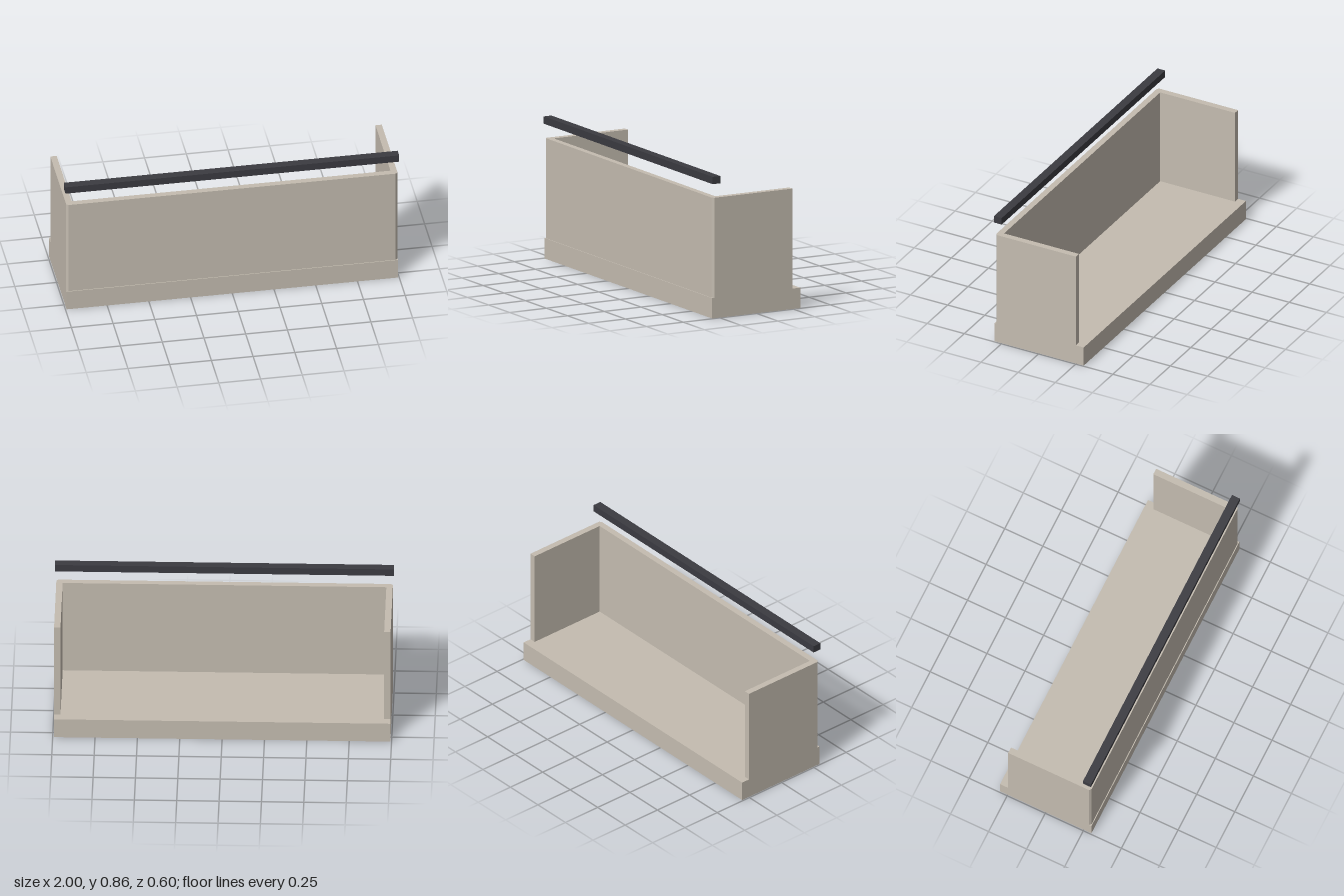
import * as THREE from 'three';

export function createModel() {
  const group = new THREE.Group();
  const stone = new THREE.MeshStandardMaterial({ color: 0xc4bcb0 });
  stone.name = 'warm grey concrete';
  const metal = new THREE.MeshStandardMaterial({ color: 0x3b3b41 });
  metal.name = 'dark metal';

  const add = (name, geometry, material, y, z = 0) => {
    const mesh = new THREE.Mesh(geometry, material);
    mesh.name = name;
    mesh.position.set(0, y, z);
    group.add(mesh);
  };

  const halfWidth = 0.993, slabTop = 0.123, wallTop = 0.726;

  // Floor slab
  add('floorSlab', new THREE.BoxGeometry(halfWidth * 2, slabTop, 0.6), stone, slabTop / 2);

  // U-shaped parapet, open at the back, with chamfered front corners
  const half = [[0.98, 0.295], [halfWidth, 0.284], [halfWidth, -0.247], [0.955, -0.247], [0.955, 0.257]];
  const outline = [...half, ...half.map(([x, z]) => [-x, z]).reverse()];
  const shape = new THREE.Shape(outline.map(([x, z]) => new THREE.Vector2(x, -z)));
  const walls = new THREE.ExtrudeGeometry(shape, { depth: wallTop - slabTop, bevelEnabled: false });
  walls.rotateX(-Math.PI / 2);
  add('parapetWalls', walls, stone, slabTop);

  // Handrail floating above the front wall
  add('handrail', new THREE.BoxGeometry(2, 0.044, 0.052), metal, 0.833, 0.274);

  return group;
}
